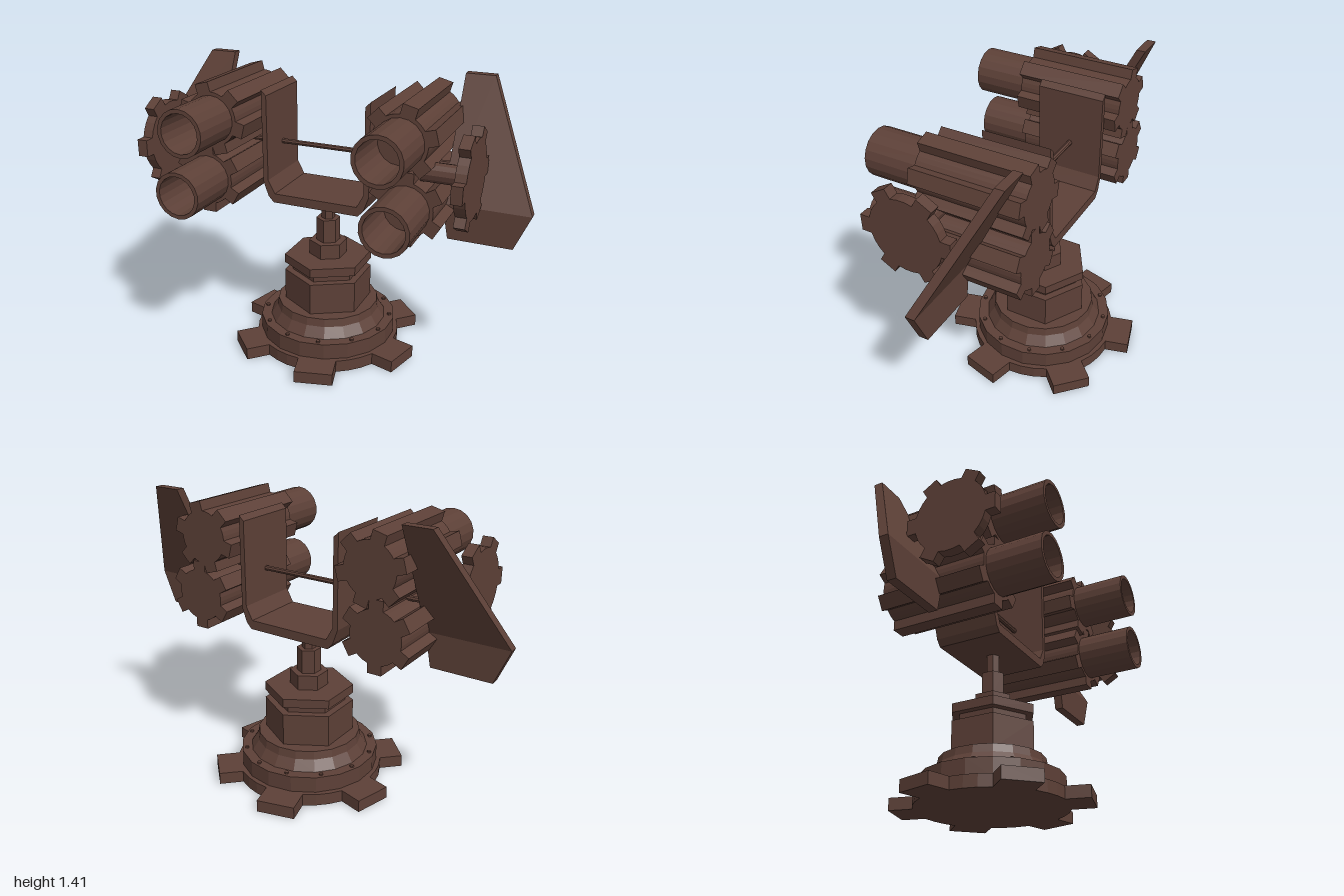
import * as THREE from 'three';

const brown = new THREE.MeshStandardMaterial({ color: 0x5d4037 });
brown.name = 'rust brown';

const CZ = -0.043; // pedestal axis depth

// Mesh with hard facets
function part(name, geometry, parent) {
  const g = geometry.index ? geometry.toNonIndexed() : geometry;
  g.computeVertexNormals();
  const mesh = new THREE.Mesh(g, brown);
  mesh.name = name;
  parent.add(mesh);
  return mesh;
}

function extrude(points, depth) {
  const shape = new THREE.Shape(points.map(p => new THREE.Vector2(p[0], p[1])));
  return new THREE.ExtrudeGeometry(shape, { depth, bevelEnabled: false });
}

// Six-toothed cog outline extruded along z
function cog(bodyR, toothR, half, offsetDeg, depth) {
  const pts = [];
  const base = Math.asin(half / bodyR);
  const gap = Math.PI / 3 - 2 * base;
  for (let i = 0; i < 6; i++) {
    const a = THREE.MathUtils.degToRad(offsetDeg) + i * Math.PI / 3;
    const c = Math.cos(a), s = Math.sin(a);
    const root = Math.sqrt(bodyR * bodyR - half * half);
    for (const [u, v] of [[root, -half], [toothR, -half], [toothR, half], [root, half]]) {
      pts.push([u * c - v * s, u * s + v * c]);
    }
    for (let k = 1; k < 3; k++) {
      const t = a + base + gap * k / 3;
      pts.push([bodyR * Math.cos(t), bodyR * Math.sin(t)]);
    }
  }
  return extrude(pts, depth);
}

function lathe(pts, sides) {
  return new THREE.LatheGeometry(pts.map(p => new THREE.Vector2(p[0], p[1])), sides);
}

function buildPedestal(root) {
  const g = new THREE.Group();
  g.name = 'pedestal';
  g.position.z = CZ;
  root.add(g);

  part('baseCog', cog(0.365, 0.47, 0.093, 45, 0.06).rotateX(-Math.PI / 2), g);
  part('steppedBase', lathe([[0.345, 0.05], [0.345, 0.14], [0.295, 0.14],
    [0.262, 0.19], [0.255, 0.23], [0, 0.23]], 18), g);

  // Ring of bolts on the lower step
  for (let i = 0; i < 12; i++) {
    const a = (i + 0.5) * Math.PI / 6;
    part('baseBolt', new THREE.CylinderGeometry(0.01, 0.01, 0.012, 6), g)
      .position.set(0.32 * Math.cos(a), 0.143, 0.32 * Math.sin(a));
  }

  // Hexagonal column: radius, bottom, top
  const tiers = [['column', 0.22, 0.22, 0.39], ['columnNeck', 0.18, 0.39, 0.43],
    ['columnCap', 0.22, 0.43, 0.475], ['collar', 0.095, 0.475, 0.55],
    ['lowerPost', 0.06, 0.55, 0.67], ['upperPost', 0.034, 0.67, 0.785]];
  for (const [name, r, y0, y1] of tiers) {
    part(name, new THREE.CylinderGeometry(r, r, y1 - y0, 6), g).position.y = (y0 + y1) / 2;
  }
}

function buildYoke(root) {
  // U-shaped strap with chamfered lower corners
  const half = [[0.22, 0.77], [0.247, 0.80], [0.272, 0.87], [0.272, 1.31], [0.247, 1.325],
    [0.247, 0.88], [0.212, 0.815]];
  half[4][1] = 1.295;
  half[3][1] = 1.32;
  const outer = half.slice(0, 4), inner = half.slice(4);
  const flip = list => list.map(([x, y]) => [-x, y]).reverse();
  const yoke = part('yoke', extrude([...outer, ...inner, ...flip(inner), ...flip(outer)], 0.33), root);
  yoke.position.z = CZ - 0.17;

  const rod = part('crossRod', new THREE.CylinderGeometry(0.013, 0.013, 1.24, 8).rotateZ(Math.PI / 2), root);
  rod.position.set(0, 1.032, -0.05);
}

// One launcher tube: ribbed body with an open barrel
function buildTube(name, x, y, offset, parent) {
  const g = new THREE.Group();
  g.name = name;
  g.position.set(x, y, 0);
  parent.add(g);
  part('ribbedBody', cog(0.128, 0.17, 0.035, offset, 0.525).translate(0, 0, -0.262), g);
  const barrel = lathe([[0.112, 0], [0.112, 0.275], [0.093, 0.275], [0.093, 0.02], [0, 0.02]], 18);
  part('barrel', barrel.rotateX(Math.PI / 2).translate(0, 0, 0.252), g);
}

// Shield plate: upright lower half, upper half leaning back
function buildShield(side, parent) {
  const lower = [[0.632, 0.705], [0.93, 0.705], [1, 0.872], [0.6, 0.872]];
  const upper = [[0.6, 0.872], [1, 0.872], [0.737, 1.41], [0.6, 1.41]];
  for (const [name, pts] of [['shieldLower', lower], ['shieldUpper', upper]]) {
    const geo = extrude(pts.map(([x, y]) => [side * x, y]), 0.045);
    const p = geo.attributes.position;
    for (let i = 0; i < p.count; i++) {
      p.setZ(i, p.getZ(i) - Math.max(0, p.getY(i) - 0.872) * 0.5);
    }
    part(name, geo, parent);
  }
}

function buildSide(side, root) {
  const g = new THREE.Group();
  g.name = side > 0 ? 'leftLauncher' : 'rightLauncher';
  root.add(g);
  const mirror = deg => (side > 0 ? 180 - deg : deg);
  buildTube('upperTube', side * 0.457, 1.198, mirror(45), g);
  buildTube('lowerTube', side * 0.493, 0.904, mirror(30), g);

  // Elevation wheel and its axle
  const wheel = part('elevationWheel', cog(0.178, 0.22, 0.04, 0, 0.05)
    .translate(0, 0, -0.025).rotateY(Math.PI / 2), g);
  wheel.position.set(side * 0.75, 1.06, 0.185);
  const axle = part('wheelAxle', new THREE.CylinderGeometry(0.045, 0.045, 0.2, 12).rotateZ(Math.PI / 2), g);
  axle.position.set(side * 0.64, 1.065, 0.183);

  buildShield(side, g);
}

export function createModel() {
  const root = new THREE.Group();
  root.name = 'launcherTurret';
  buildPedestal(root);
  buildYoke(root);
  for (const side of [-1, 1]) buildSide(side, root);
  return root;
}
